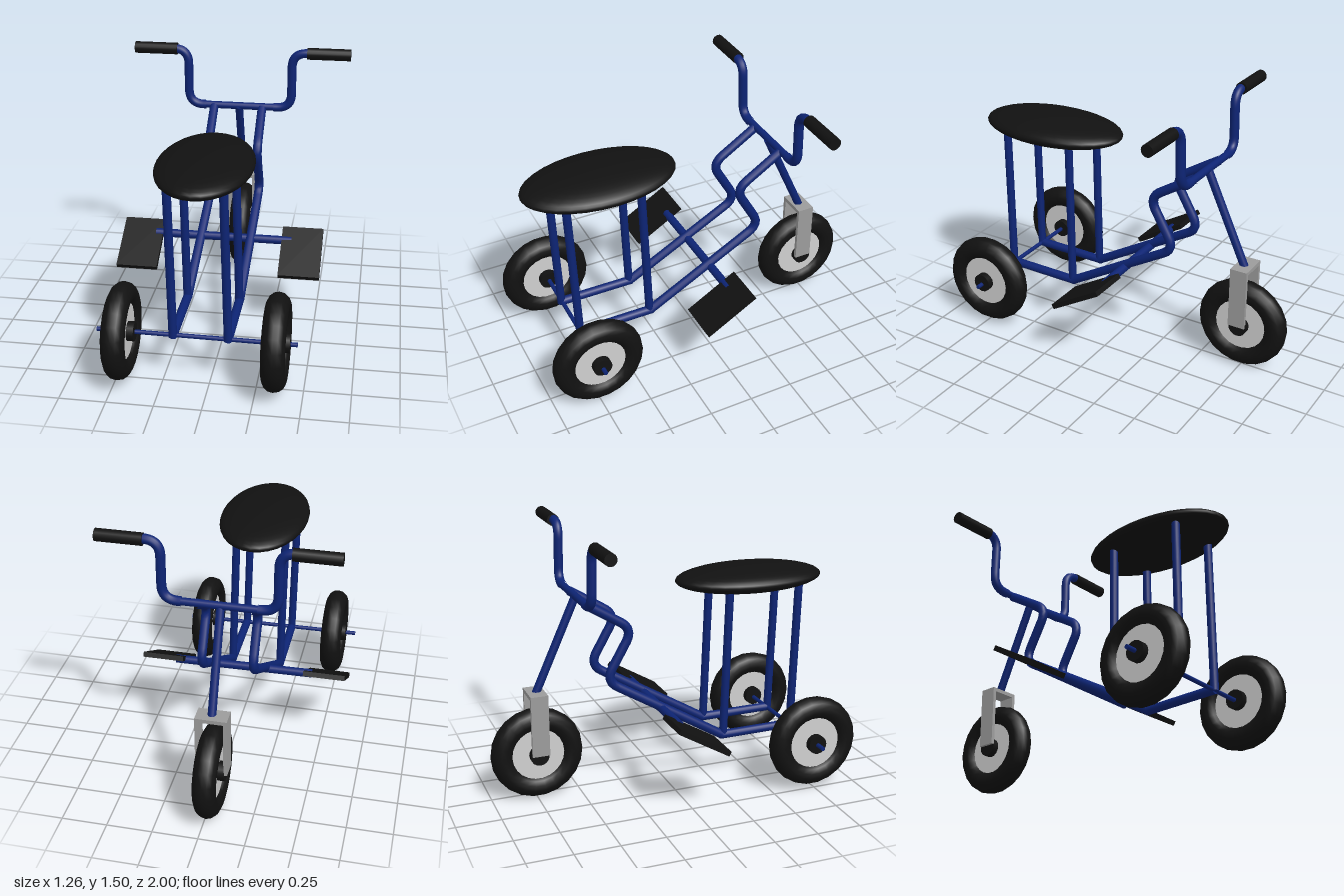
import * as THREE from 'three';

const mat = (name, color) => {
  const m = new THREE.MeshStandardMaterial({ color });
  m.name = name;
  return m;
};

export function createModel() {
  const blue = mat('blue paint', 0x0d2474);
  const black = mat('black rubber', 0x111111);
  const rimGrey = mat('light grey rim', 0xcfcfcf);
  const forkGrey = mat('grey metal', 0x9c9c9c);
  const model = new THREE.Group();
  model.name = 'tricycle';
  const V = (p) => new THREE.Vector3(...p);

  const add = (name, geometry, material, pos = [0, 0, 0], parent = model) => {
    const mesh = new THREE.Mesh(geometry, material);
    mesh.name = name;
    mesh.position.set(...pos);
    parent.add(mesh);
    return mesh;
  };

  // Straight round bar between two points
  const bar = (name, a, b, r, material = blue, parent = model) => {
    const from = V(a), to = V(b), dir = to.clone().sub(from);
    const mesh = add(name, new THREE.CylinderGeometry(r, r, dir.length(), 16), material,
      from.clone().add(to).multiplyScalar(0.5).toArray(), parent);
    mesh.quaternion.setFromUnitVectors(new THREE.Vector3(0, 1, 0), dir.normalize());
    return mesh;
  };

  // Bent tube: straight runs with each inner corner rounded
  const bentTube = (name, points, radius, bend) => {
    const p = points.map(V), path = new THREE.CurvePath();
    let last = p[0];
    for (let i = 1; i < p.length - 1; i++) {
      const toPrev = p[i - 1].clone().sub(p[i]).normalize();
      const toNext = p[i + 1].clone().sub(p[i]).normalize();
      const a = p[i].clone().addScaledVector(toPrev, bend);
      const b = p[i].clone().addScaledVector(toNext, bend);
      path.add(new THREE.LineCurve3(last, a));
      path.add(new THREE.QuadraticBezierCurve3(a, p[i], b));
      last = b;
    }
    path.add(new THREE.LineCurve3(last, p[p.length - 1]));
    return add(name, new THREE.TubeGeometry(path, 60, radius, 12), blue);
  };

  // Wheel: tyre, rim disc and hub around an x axle
  const wheel = (name, x, y, z) => {
    const g = new THREE.Group();
    g.name = name;
    g.position.set(x, y, z);
    model.add(g);
    add('tyre', new THREE.TorusGeometry(0.198, 0.063, 14, 22), black, [0, 0, 0], g).rotation.y = Math.PI / 2;
    bar('rim', [-0.035, 0, 0], [0.035, 0, 0], 0.155, rimGrey, g);
    bar('hub', [-0.073, 0, 0], [0.073, 0, 0], 0.053, black, g);
  };
  wheel('rearLeftWheel', 0.352, 0.282, 0.74);
  wheel('rearRightWheel', -0.468, 0.282, 0.74);
  wheel('frontWheel', -0.021, 0.263, -0.737);
  bar('rearAxle', [-0.6, 0.282, 0.74], [0.462, 0.274, 0.74], 0.012);

  // Twin frame tubes, each with two seat posts
  for (const [side, low, mid, top, seat] of [
    ['left', 0.1, 0.125, 0.12, 0.08], ['right', -0.192, -0.16, -0.165, -0.205]]) {
    bar(side + 'LowerTube', [low, 0.28, 0.745], [low, 0.276, 0.305], 0.025);
    bentTube(side + 'FrameTube', [
      [low, 0.276, 0.31], [mid, 0.68, -0.375], [mid, 0.96, -0.215], [top, 1.13, -0.49],
    ], 0.026, 0.08);
    add(side + 'FrameJoint', new THREE.SphereGeometry(0.026, 14, 10), blue, [low, 0.276, 0.308]);
    bar(side + 'RearSeatPost', [low, 0.27, 0.743], [seat, 1.13, 0.76], 0.023);
    bar(side + 'FrontSeatPost', [low, 0.27, 0.316], [seat, 1.13, 0.336], 0.023);
  }

  // Oval seat
  add('seat', new THREE.SphereGeometry(1, 32, 20), black, [-0.05, 1.157, 0.521]).scale.set(0.255, 0.073, 0.438);

  // Handlebar with raised ends and grips
  bar('handlebarCrossbar', [-0.25, 1.137, -0.495], [0.23, 1.137, -0.495], 0.021);
  for (const [side, s] of [['left', 1], ['right', -1]]) {
    const x = (v) => s * v - 0.011;
    bentTube(side + 'Handlebar', [
      [x(0.2), 1.137, -0.495], [x(0.304), 1.137, -0.495], [x(0.304), 1.473, -0.488], [x(0.42), 1.473, -0.488],
    ], 0.026, 0.088);
    bar(side + 'Grip', [s * 0.38, 1.471, -0.492], [s * 0.63, 1.471, -0.492], 0.034, black);
  }

  // Steering stem and fork
  bar('stem', [-0.016, 1.137, -0.49], [-0.02, 0.61, -0.73], 0.023);
  add('forkCrown', new THREE.BoxGeometry(0.17, 0.022, 0.098), forkGrey, [-0.024, 0.609, -0.733]);
  for (const x of [-0.1, 0.052])
    add('forkLeg', new THREE.BoxGeometry(0.02, 0.35, 0.098), forkGrey, [x, 0.445, -0.733]);

  // Foot rest bar and tilted plates
  bar('footBar', [-0.44, 0.485, -0.055], [0.35, 0.48, -0.062], 0.024);
  for (const [name, x] of [['leftFootPlate', 0.411], ['rightFootPlate', -0.516]])
    add(name, new THREE.BoxGeometry(0.234, 0.028, 0.335), black, [x, 0.443, 0.015]).rotation.x = 0.53;

  return model;
}
